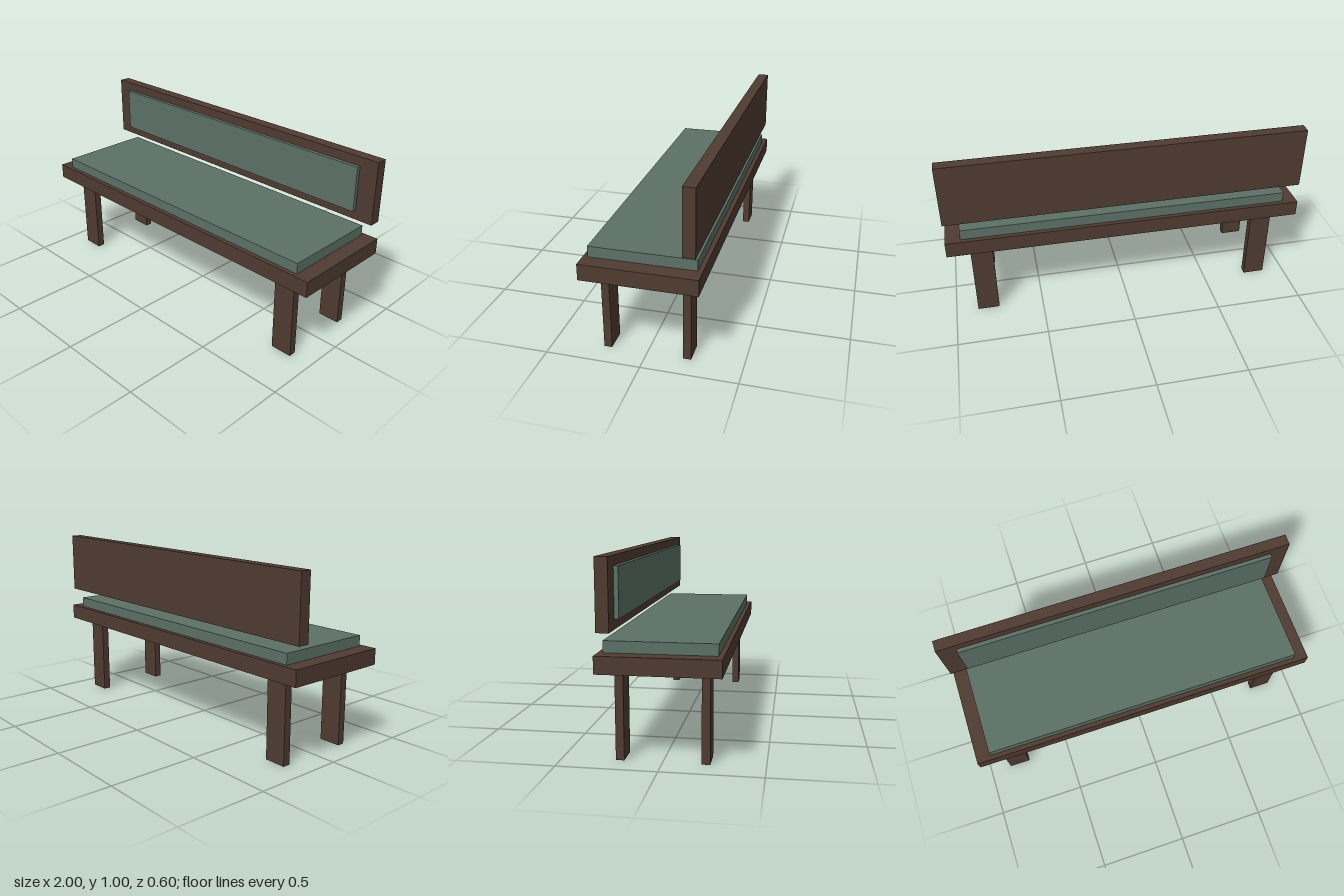
import * as THREE from 'three';

export function createModel() {
  const bench = new THREE.Group();
  bench.name = 'bench';
  const wood = new THREE.MeshStandardMaterial({ color: 0x4f3b30 });
  const fabric = new THREE.MeshStandardMaterial({ color: 0x5b7166 });

  // Box given by its size and centre
  function addBox(name, material, [w, h, d], [x, y, z]) {
    const mesh = new THREE.Mesh(new THREE.BoxGeometry(w, h, d), material);
    mesh.name = name;
    mesh.position.set(x, y, z);
    bench.add(mesh);
  }

  // Seat slab with its cushion
  addBox('seat', wood, [2, 0.087, 0.6], [0, 0.4985, 0]);
  addBox('seatCushion', fabric, [1.834, 0.058, 0.55], [0, 0.571, 0]);

  // Floating backrest board with a pad on its front
  addBox('backrest', wood, [2, 0.35, 0.063], [0, 0.825, -0.2535]);
  addBox('backrestPad', fabric, [1.794, 0.25, 0.022], [0, 0.825, -0.211]);

  // Four flat legs
  for (const [side, sx] of [['Left', 1], ['Right', -1]]) {
    for (const [end, sz] of [['front', 1], ['back', -1]]) {
      addBox(`${end}${side}Leg`, wood, [0.122, 0.455, 0.042], [sx * 0.815, 0.2275, sz * 0.211]);
    }
  }
  return bench;
}
